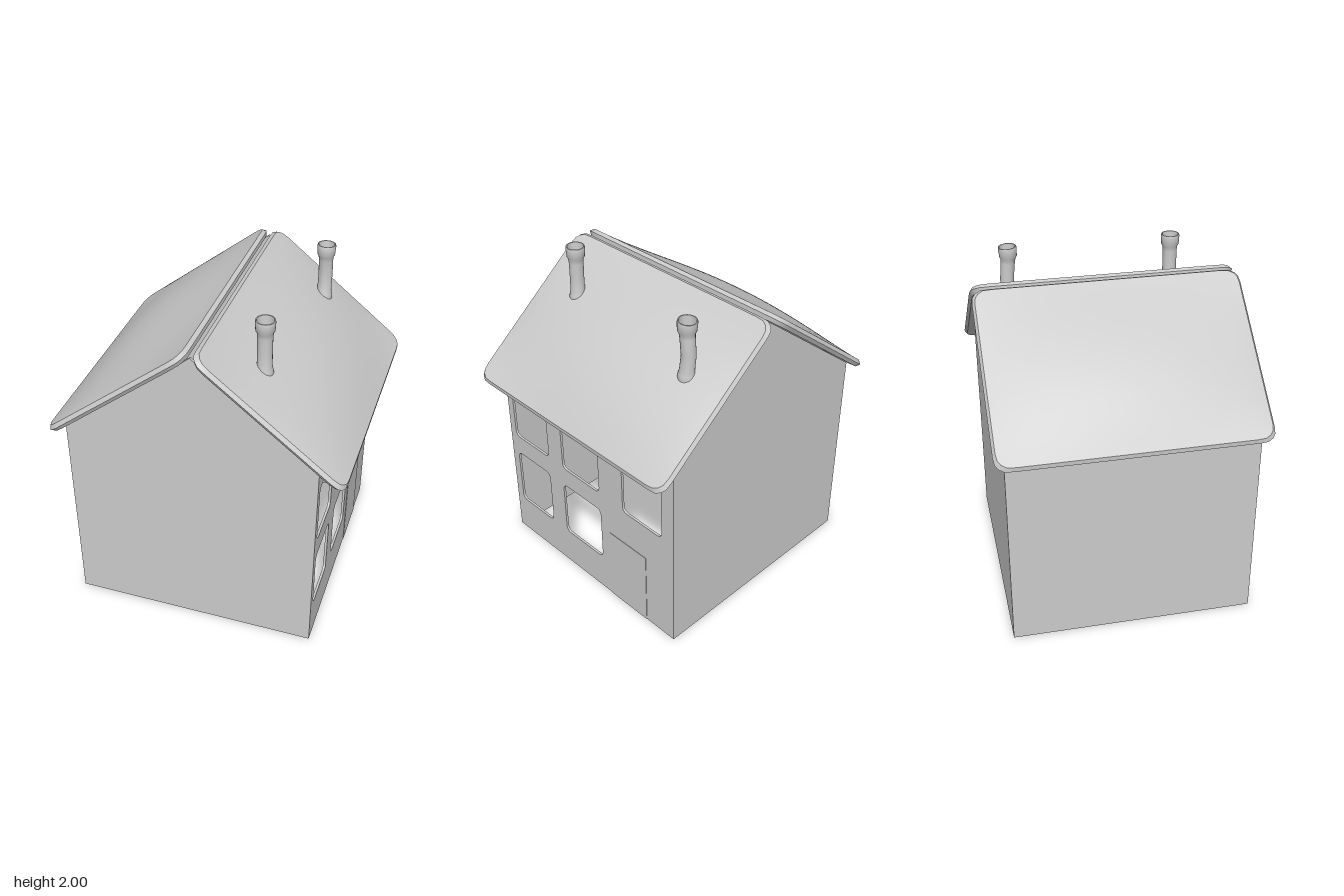
import * as THREE from 'three';
import { toCreasedNormals } from 'three/addons/utils/BufferGeometryUtils.js';

const grey = new THREE.MeshStandardMaterial({ color: 0xcccccc, side: THREE.DoubleSide });
const WALL = 0.015;
const LEFT = -0.75, RIGHT = 0.705, BACK = -0.71, FRONT = 0.72;

function addMesh(parent, name, geometry) {
  const mesh = new THREE.Mesh(geometry, grey);
  mesh.name = name;
  parent.add(mesh);
  return mesh;
}

function polygon(points) {
  return new THREE.Shape(points.map(([x, y]) => new THREE.Vector2(x, y)));
}

function roundedHole(x0, x1, y0, y1, r) {
  const p = new THREE.Path();
  p.moveTo(x0 + r, y0);
  p.lineTo(x1 - r, y0).quadraticCurveTo(x1, y0, x1, y0 + r);
  p.lineTo(x1, y1 - r).quadraticCurveTo(x1, y1, x1 - r, y1);
  p.lineTo(x0 + r, y1).quadraticCurveTo(x0, y1, x0, y1 - r);
  p.lineTo(x0, y0 + r).quadraticCurveTo(x0, y0, x0 + r, y0);
  return p;
}

const extrude = (shape) =>
  new THREE.ExtrudeGeometry(shape, { depth: WALL, bevelEnabled: false, curveSegments: 5 });

// Slab with rounded corners, bevelled rim and a soft swelling in the middle
function roofGeometry() {
  const length = 1.07, depth = 1.54, thick = 0.045, radius = 0.075, bevel = 0.015;
  const geo = new THREE.BoxGeometry(length, thick, depth, 24, 2, 30);
  const pos = geo.attributes.position;
  for (let i = 0; i < pos.count; i++) {
    const y = pos.getY(i);
    const u = THREE.MathUtils.clamp(pos.getX(i) / length + 0.5, 0, 1);
    const w = THREE.MathUtils.clamp(pos.getZ(i) / depth + 0.5, 0, 1);
    const inset = Math.abs(y) > thick * 0.4 ? bevel : 0;
    const hx = length / 2 - inset, hz = depth / 2 - inset;
    let x = (2 * u - 1) * hx, z = (2 * w - 1) * hz;
    // pull the square corners in to an arc
    const cx = THREE.MathUtils.clamp(x, radius - hx, hx - radius);
    const cz = THREE.MathUtils.clamp(z, radius - hz, hz - radius);
    const dx = x - cx, dz = z - cz, len = Math.hypot(dx, dz);
    if (len > 1e-6) {
      const k = Math.max(Math.abs(dx), Math.abs(dz)) / len;
      x = cx + dx * k;
      z = cz + dz * k;
    }
    const swell = 0.067 * Math.sin(Math.PI * Math.pow(u, 1.2)) *
      Math.pow(Math.max(0, Math.sin(Math.PI * w)), 0.8);
    pos.setXYZ(i, x, y + swell, z);
  }
  return toCreasedNormals(geo, 0.5);
}

// Open-topped chimney pot; wobble bends the shaft and tilts the rim
function chimneyGeometry(h, wobble) {
  const profile = [
    [0.036, 0], [0.046, 0.03], [0.05, 0.07], [0.047, 0.09], [0.042, 0.11],
    [0.041, h * 0.5], [0.042, h - 0.1], [0.044, h - 0.075], [0.052, h - 0.06],
    [0.055, h - 0.01], [0.053, h], [0.047, h], [0.044, h - 0.06], [0, h - 0.07],
  ].map(([r, y]) => new THREE.Vector2(r, y));
  const geo = new THREE.LatheGeometry(profile, 24);
  const pos = geo.attributes.position;
  for (let i = 0; i < pos.count; i++) {
    const y = pos.getY(i), z = pos.getZ(i), t = y / h;
    pos.setY(i, y + wobble * 9 * z * t);
    pos.setZ(i, z + wobble * Math.sin(t * 9));
  }
  return toCreasedNormals(geo, 0.7);
}

export function createModel() {
  const house = new THREE.Group();
  house.name = 'house';

  // Gable walls
  const gable = polygon([[LEFT, 0], [RIGHT, 0], [RIGHT, 1.3], [0, 1.865], [LEFT, 1.265]]);
  addMesh(house, 'frontGable', extrude(gable)).position.z = FRONT - WALL;
  addMesh(house, 'backGable', extrude(gable)).position.z = BACK;

  // Side walls run between the gables; shape x is -z
  const z0 = -FRONT + WALL, z1 = -BACK - WALL;
  const wall = (top) => polygon([[z0, 0], [z1, 0], [z1, top], [z0, top]]);
  addMesh(house, 'plainSideWall', extrude(wall(1.265)).rotateY(Math.PI / 2)).position.x = LEFT;

  // Side wall with five window openings
  const windowed = wall(1.3);
  [
    [-0.67, -0.355, 0.76, 1.145],
    [-0.225, 0.1, 0.755, 1.15],
    [0.3, 0.615, 0.74, 1.16],
    [-0.665, -0.36, 0.25, 0.63],
    [-0.23, 0.105, 0.25, 0.625],
  ].forEach(([a, b, c, d]) => windowed.holes.push(roundedHole(a, b, c, d, 0.04)));
  addMesh(house, 'windowWall', extrude(windowed).rotateY(Math.PI / 2)).position.x = RIGHT - WALL;

  // Door, almost flush with the wall
  addMesh(house, 'door', new THREE.BoxGeometry(0.012, 0.5, 0.305))
    .position.set(RIGHT - 0.003, 0.25, -0.333);

  // Two roof panels meeting at the ridge
  const roof = roofGeometry();
  [['roofLeft', 0], ['roofRight', Math.PI]].forEach(([name, turn]) => {
    const side = new THREE.Group();
    side.name = name;
    side.rotation.y = turn;
    const panel = addMesh(side, name + 'Panel', roof);
    panel.position.set(0.435, 1.55, 0);
    panel.rotation.z = -0.675;
    house.add(side);
  });

  // Chimneys, the back one crooked
  addMesh(house, 'frontChimney', chimneyGeometry(0.39, 0)).position.set(0.32, 1.61, 0.457);
  addMesh(house, 'backChimney', chimneyGeometry(0.41, 0.007)).position.set(0.405, 1.555, -0.512);

  return house;
}
